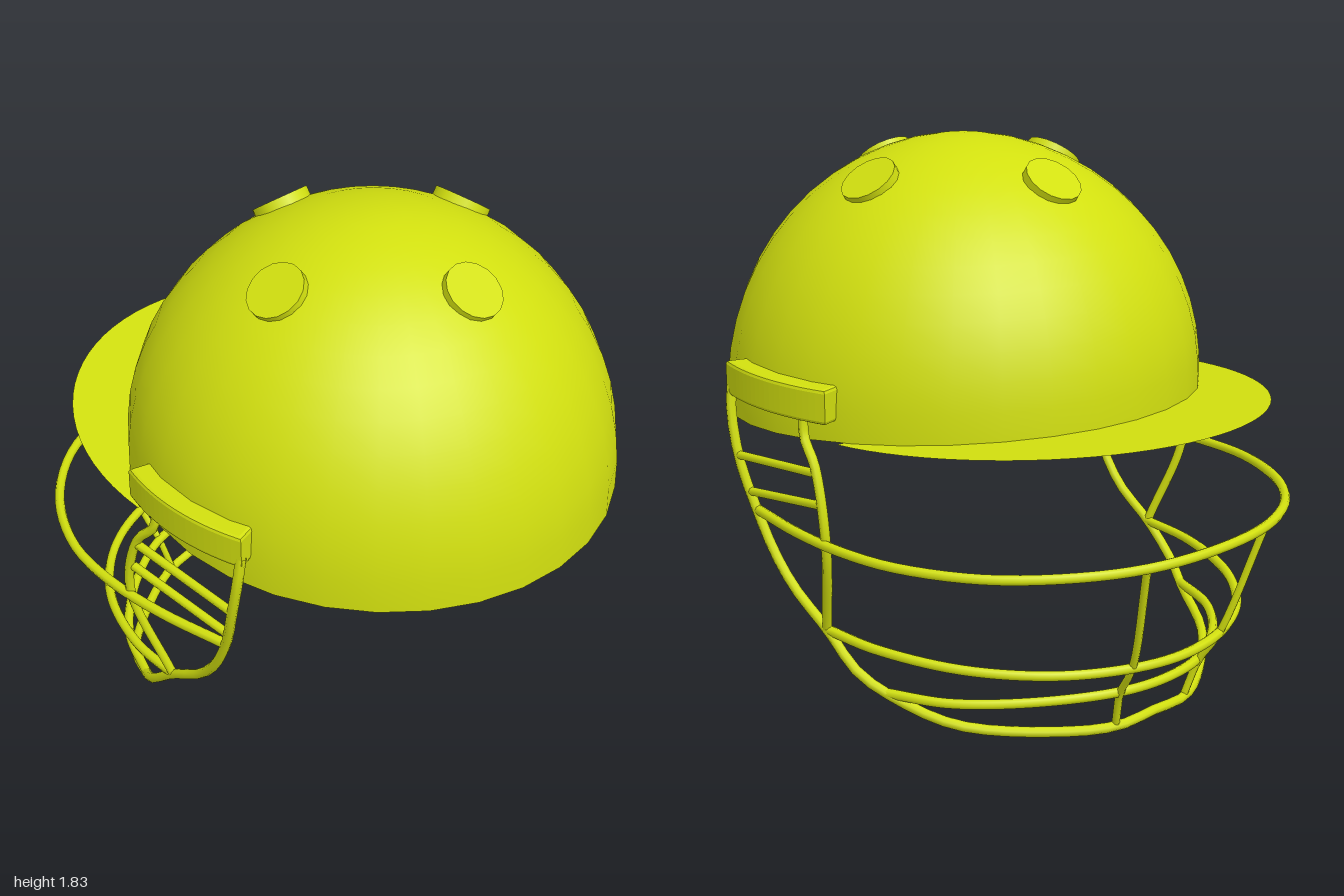
import * as THREE from 'three';
import { mergeVertices } from 'three/addons/utils/BufferGeometryUtils.js';

const material = new THREE.MeshStandardMaterial({ color: 0xd2e00f, side: THREE.DoubleSide });
const CZ = 0.18;                                   // shell axis
const R = 0.815;                                   // shell rim radius
const rimY = (z) => 0.945 - (z - CZ) * 0.067;      // tilted rim plane

export function createModel() {
  const model = new THREE.Group();
  model.name = 'helmet';
  const add = (name, geometry, parent = model) => {
    const mesh = new THREE.Mesh(geometry, material);
    mesh.name = name;
    parent.add(mesh);
    return mesh;
  };

  // Dome: a hemisphere whose rim follows the tilted plane
  let dome = new THREE.SphereGeometry(1, 32, 14, 0, Math.PI * 2, 0, Math.PI / 2);
  const p = dome.attributes.position;
  for (let i = 0; i < p.count; i++) {
    const c = p.getY(i);
    const bulge = 1 + 0.04 * c * Math.sqrt(Math.max(0, 1 - c * c));
    const x = p.getX(i) * R * bulge, z = CZ + p.getZ(i) * R * bulge;
    p.setXYZ(i, x, rimY(z) + (1.83 - rimY(CZ)) * c + 0.067 * (z - CZ) * c, z);
  }
  dome.deleteAttribute('uv');
  dome.deleteAttribute('normal');
  dome = mergeVertices(dome);
  dome.computeVertexNormals();
  add('shell', dome);

  // Peak: thin crescent from the shell rim to an elliptical edge
  const n = 40, pos = [], index = [];
  const start = Math.asin(0.28 / R);
  for (let i = 0; i <= n; i++) {
    const t = (i / n) * Math.PI;
    const a = start + (i / n) * (Math.PI - 2 * start);
    const zi = CZ - R * 0.995 * Math.sin(a);
    const zo = -0.1 - 0.872 * Math.sin(t);
    pos.push(R * 0.995 * Math.cos(a), rimY(zi), zi, 0.79 * Math.cos(t), rimY(zo), zo);
    if (i < n) {
      const k = i * 2;
      index.push(k, k + 1, k + 2, k + 1, k + 3, k + 2);
    }
  }
  const peak = new THREE.BufferGeometry();
  peak.setAttribute('position', new THREE.Float32BufferAttribute(pos, 3));
  peak.setIndex(index);
  peak.computeVertexNormals();
  add('peak', peak);

  // Four vent buttons around the crown
  const up = new THREE.Vector3(0, 1, 0);
  for (let i = 0; i < 4; i++) {
    const a = (i * Math.PI) / 2, dx = Math.sin(a), dz = Math.cos(a);
    const vent = add('ventButton', new THREE.CylinderGeometry(0.098, 0.098, 0.04, 16));
    vent.position.set(dx * 0.413, 1.71, CZ - 0.01 + dz * 0.413);
    const normal = new THREE.Vector3(dx * 0.58, 0.81, dz * 0.58).normalize();
    vent.quaternion.setFromUnitVectors(up, normal);
  }

  // Curved side brackets hugging the shell
  const bracket = new THREE.Shape();
  bracket.absarc(0, -0.17, 0.853, -0.29, 0.29, false);
  bracket.absarc(0, -0.17, 0.795, 0.29, -0.29, true);
  bracket.closePath();
  for (const side of [1, -1]) {
    const g = new THREE.ExtrudeGeometry(bracket, {
      depth: 0.09, curveSegments: 10, bevelSize: 0.012, bevelThickness: 0.012, bevelSegments: 2,
    });
    g.rotateX(-Math.PI / 2);
    const mesh = add(side > 0 ? 'leftBracket' : 'rightBracket', g);
    mesh.position.y = 1.04;
    if (side < 0) { mesh.rotation.y = Math.PI; mesh.position.z = 0.34; }
  }

  // Face guard of round wire
  const guard = new THREE.Group();
  guard.name = 'faceGuard';
  model.add(guard);
  const wire = (name, points, radius, segments) => {
    const curve = new THREE.CatmullRomCurve3(points.map((q) => new THREE.Vector3(...q)), false, 'centripetal');
    add(name, new THREE.TubeGeometry(curve, segments, radius, 8), guard);
  };
  const mirror = (points) => points.map(([x, y, z]) => [-x, y, z]);
  // Full-width bar: half path from the left side to the middle, then mirrored
  const hoop = (name, half) => wire(name, [...half, ...mirror(half.slice(0, -1)).reverse()], 0.017, 64);
  const pair = (name, points, radius, segments) => {
    wire(name, points, radius, segments);
    wire(name, mirror(points), radius, segments);
  };

  hoop('lowerFrame', [
    [0.815, 1.06, 0.415], [0.825, 0.98, 0.41], [0.825, 0.82, 0.375], [0.805, 0.66, 0.32],
    [0.79, 0.51, 0.24], [0.78, 0.41, 0.15], [0.77, 0.31, 0], [0.755, 0.2, -0.13],
    [0.7, 0.13, -0.24], [0.59, 0.06, -0.43], [0.33, 0.025, -0.64], [0.16, 0.02, -0.725], [0, 0.03, -0.74],
  ]);
  hoop('browBar', [
    [0.8, 0.65, 0.32], [0.845, 0.65, 0.05], [0.855, 0.65, -0.2], [0.82, 0.65, -0.42],
    [0.69, 0.65, -0.67], [0.5, 0.655, -0.85], [0.28, 0.655, -0.95], [0, 0.655, -0.983],
  ]);
  hoop('chinBar', [
    [0.77, 0.31, 0], [0.745, 0.3, -0.22], [0.63, 0.285, -0.5], [0.44, 0.275, -0.71],
    [0.21, 0.27, -0.83], [0, 0.265, -0.86],
  ]);
  hoop('jawBar', [
    [0.71, 0.14, -0.22], [0.62, 0.142, -0.42], [0.45, 0.15, -0.6], [0.2, 0.157, -0.75], [0, 0.155, -0.78],
  ]);
  pair('sideStrut', [
    [0.82, 1.06, 0.03], [0.825, 0.97, 0.02], [0.84, 0.89, -0.05], [0.845, 0.66, -0.1], [0.77, 0.31, 0],
  ], 0.016, 24);
  pair('upperRung', [[0.825, 0.83, 0.38], [0.84, 0.87, -0.055]], 0.015, 2);
  pair('lowerRung', [[0.81, 0.71, 0.34], [0.842, 0.77, -0.075]], 0.015, 2);
  pair('frontUpright', [
    [0.28, 0.65, -0.945], [0.21, 0.27, -0.83], [0.19, 0.155, -0.76], [0.165, 0.02, -0.72],
  ], 0.013, 12);

  return model;
}
